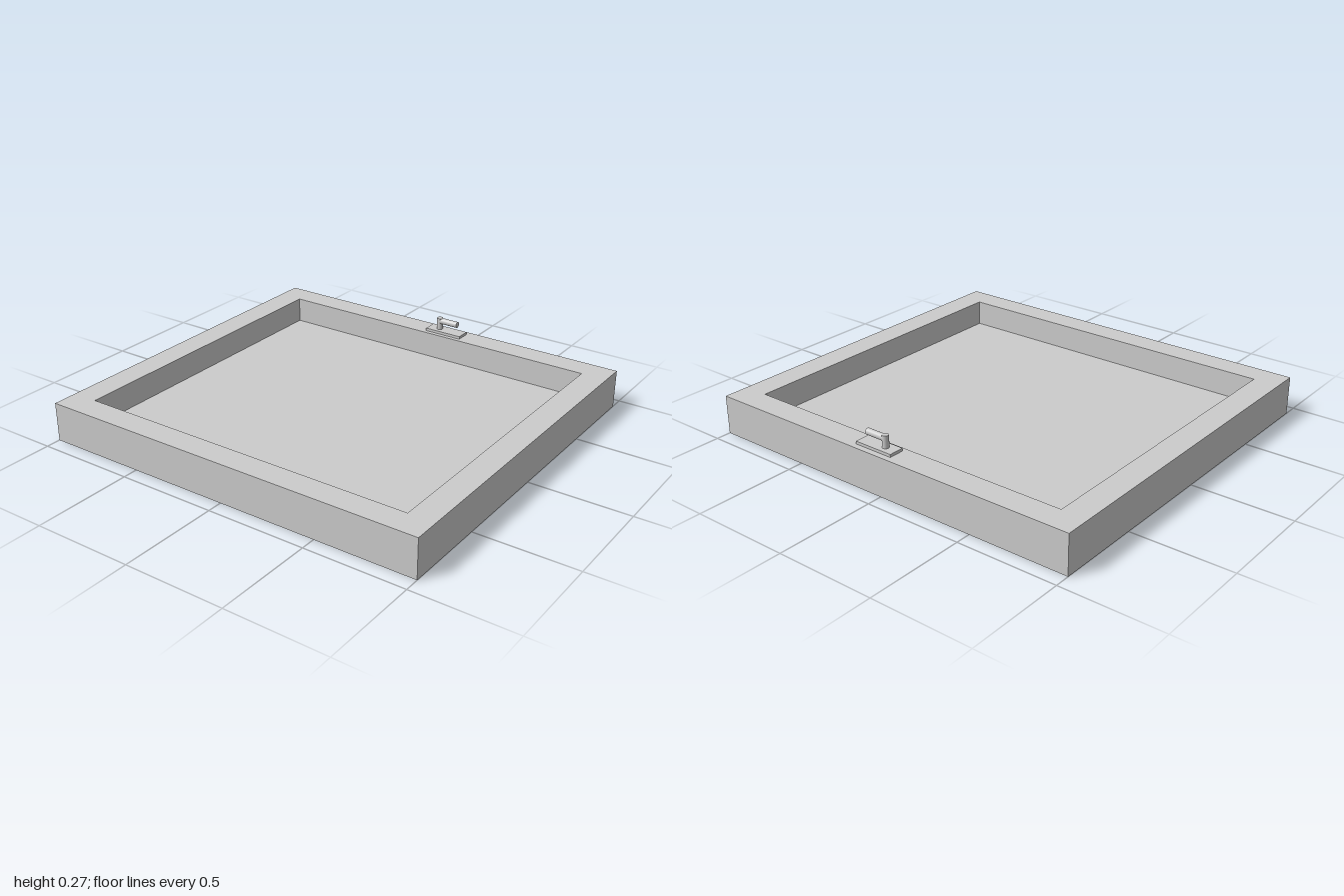
import * as THREE from 'three';

const material = new THREE.MeshStandardMaterial({ color: 0xcccccc });

function addPart(parent, name, geometry, x, y, z) {
  const mesh = new THREE.Mesh(geometry, material);
  mesh.name = name;
  mesh.position.set(x, y, z);
  parent.add(mesh);
  return mesh;
}

// Closed rectangle of half sizes w, d
function rectangle(path, w, d) {
  path.moveTo(-w, -d);
  path.lineTo(w, -d);
  path.lineTo(w, d);
  path.lineTo(-w, d);
  path.closePath();
  return path;
}

export function createModel() {
  const model = new THREE.Group();
  model.name = 'recessedPanel';
  const width = 1.85, depth = 2, floorY = 0.065, rimY = 0.195;

  // Base slab, its top is the recessed floor
  addPart(model, 'base', new THREE.BoxGeometry(width, floorY, depth), 0, floorY / 2, 0);

  // Raised rim around the recess
  const outline = rectangle(new THREE.Shape(), width / 2, depth / 2);
  outline.holes.push(rectangle(new THREE.Path(), 0.797, 0.87));
  const rim = new THREE.ExtrudeGeometry(outline, { depth: rimY - floorY, bevelEnabled: false });
  rim.rotateX(-Math.PI / 2);
  addPart(model, 'rim', rim, 0, floorY, 0);

  // Lever handle on the left rim
  const handle = new THREE.Group();
  handle.name = 'handle';
  handle.position.set(0.858, rimY, 0);
  model.add(handle);

  const radius = 0.016, top = 0.075, postZ = 0.02, leverEnd = 0.126;
  addPart(handle, 'handlePlate', new THREE.BoxGeometry(0.076, 0.014, 0.204), 0, 0.007, 0.06);
  addPart(handle, 'handlePost', new THREE.CylinderGeometry(radius, radius, top - 0.01, 32), 0, (top + 0.01) / 2, postZ);
  const lever = new THREE.CylinderGeometry(radius, radius, leverEnd - postZ, 32);
  lever.rotateX(Math.PI / 2);
  addPart(handle, 'handleLever', lever, 0, top - radius, (leverEnd + postZ) / 2);

  return model;
}
